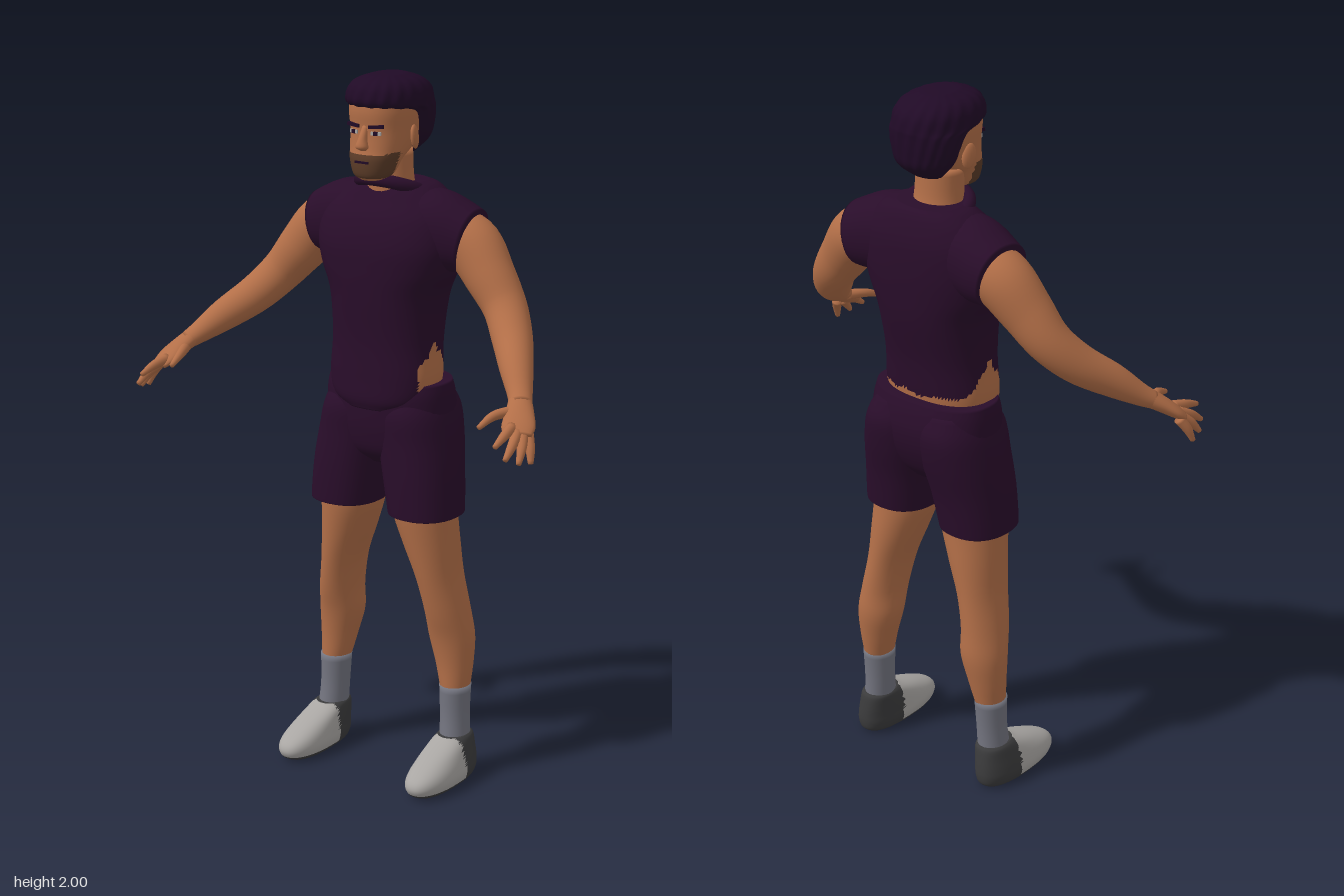
import * as THREE from 'three';

const mat = (name, color) => Object.assign(new THREE.MeshStandardMaterial({ color }), { name });
const M = {
  skin: mat('skin', 0xb36f48), cloth: mat('dark purple cloth', 0x290d2a), hair: mat('dark hair', 0x200a26),
  beard: mat('beard', 0x5c3c28), sock: mat('grey sock', 0x73747f), shoe: mat('pale shoe', 0xa9a6a3),
  sole: mat('dark sole', 0x3b3b3c),
};

// Sweeps a superellipse through sections [x, y, z, r1, r2].
// level: rings stay horizontal; pick(point) chooses which material a face gets.
function sweep(name, sections, mats, { level = false, n = 2, seg = 32, steps = 5, pick = () => 0, ripple } = {}) {
  const mid = new THREE.CatmullRomCurve3(sections.map(s => new THREE.Vector3(s[0], s[1], s[2])), false, 'catmullrom');
  const size = new THREE.CatmullRomCurve3(sections.map(s => new THREE.Vector3(s[3], s[4], 0)), false, 'catmullrom');
  const rows = (sections.length - 1) * steps;
  const up = new THREE.Vector3(0, 1, 0), pts = [];
  const bend = v => Math.sign(v) * Math.abs(v) ** (2 / n);
  for (let i = 0; i <= rows; i++) {
    const c = mid.getPoint(i / rows), r = size.getPoint(i / rows);
    const T = level ? up : mid.getTangent(i / rows);
    const u = level ? new THREE.Vector3(1, 0, 0) : up.clone().cross(T).normalize();
    const v = u.clone().cross(T);
    for (let j = 0; j < seg; j++) {
      const a = j / seg * Math.PI * 2, k = ripple ? ripple(a, c.y) : 1;
      pts.push(c.clone().addScaledVector(u, bend(Math.cos(a)) * r.x * k).addScaledVector(v, bend(Math.sin(a)) * r.y * k));
    }
  }
  pts.push(mid.getPoint(0), mid.getPoint(1));
  const list = Array.isArray(mats) ? mats : [mats], faces = list.map(() => []);
  const tri = (a, b, c) => {
    const m = pts[a].clone().add(pts[b]).add(pts[c]).divideScalar(3);
    faces[pick(m)].push(a, b, c);
  };
  for (let j = 0; j < seg; j++) {
    const k = (j + 1) % seg, top = rows * seg;
    for (let i = 0; i < rows; i++) {
      const p = i * seg, q = p + seg;
      tri(p + j, q + j, p + k);
      tri(p + k, q + j, q + k);
    }
    tri(pts.length - 2, j, k);
    tri(pts.length - 1, top + k, top + j);
  }
  const g = new THREE.BufferGeometry().setFromPoints(pts);
  g.setIndex(faces.flat());
  let start = 0;
  faces.forEach((f, i) => { g.addGroup(start, f.length, i); start += f.length; });
  g.computeVertexNormals();
  const mesh = new THREE.Mesh(g, list.length > 1 ? list : list[0]);
  mesh.name = name;
  return mesh;
}

// Horizontal rings given as [y, x, zFront, zBack, halfWidth].
const stack = (name, rings, mats, opts = {}) => sweep(name,
  rings.map(([y, x, f, b, w]) => [x, y, (f + b) / 2, w, (f - b) / 2]), mats, { level: true, ...opts });

function part(name, geometry, material, pos, rot = [0, 0, 0], scale = [1, 1, 1]) {
  const m = new THREE.Mesh(geometry, material);
  m.name = name;
  m.position.set(...pos); m.rotation.set(...rot); m.scale.set(...scale);
  return m;
}

function makeHead() {
  const g = new THREE.Group();
  g.name = 'head';
  g.add(stack('neck', [[1.58, 0, -.06, -.2, .1], [1.66, 0, -.055, -.19, .078], [1.72, 0, -.052, -.175, .068],
    [1.8, 0, -.05, -.17, .066]], M.skin));
  // beard covers the front of the jaw
  g.add(stack('face', [[1.725, 0, -.0, -.06, .028], [1.74, 0, .016, -.09, .052], [1.78, 0, .02, -.12, .068],
    [1.81, 0, .013, -.16, .078], [1.86, 0, .007, -.2, .087], [1.91, 0, .01, -.21, .092], [1.95, 0, 0, -.2, .085],
    [1.98, 0, -.04, -.17, .05]], [M.skin, M.beard],
  { n: 2.3, seg: 48, pick: p => (p.y > 1.733 && p.y < 1.798 + .3 * Math.max(0, Math.abs(p.x) - .055) && p.z > -.055 ? 1 : 0) }));
  g.add(stack('hair', [[1.785, 0, -.13, -.19, .045], [1.82, 0, -.105, -.232, .076], [1.86, 0, -.085, -.242, .092],
    [1.905, 0, -.055, -.246, .1], [1.925, 0, .014, -.246, .104], [1.96, 0, .016, -.235, .1],
    [1.985, 0, -.005, -.205, .08], [2.0, 0, -.05, -.16, .04]], M.hair,
  { seg: 72, n: 2.2, ripple: (a, y) => 1 + .02 * Math.sin(18 * a + 40 * y) }));
  g.add(sweep('nose', [[0, 1.874, 0, .008, .008], [0, 1.84, .014, .012, .014], [0, 1.818, .018, .018, .017],
    [0, 1.808, .012, .01, .008]].reverse(), M.skin, { level: true, seg: 16 }));
  g.add(part('mouth', new THREE.BoxGeometry(.042, .006, .008), M.hair, [0, 1.777, .018]));
  for (const s of [-1, 1]) {
    g.add(part('eyebrow', new THREE.BoxGeometry(.042, .009, .009), M.hair, [s * .036, 1.873, .004], [0, s * .2, s * .06]));
    g.add(part('eyeWhite', new THREE.BoxGeometry(.028, .009, .006), M.shoe, [s * .035, 1.855, .003], [0, s * .2, 0]));
    g.add(part('iris', new THREE.BoxGeometry(.011, .01, .008), M.hair, [s * .035, 1.855, .004], [0, s * .2, 0]));
    g.add(part('ear', new THREE.SphereGeometry(1, 16, 12), M.skin, [s * .089, 1.838, -.1], [.2, s * .3, 0], [.01, .034, .021]));
  }
  return g;
}

function makeTorso() {
  const g = new THREE.Group();
  g.name = 'torso';
  // ragged hem leaves skin bare at the sides and the lower back
  const bare = p => {
    if (p.z > -.04) return 0;
    const edge = 1.18 + .1 * Math.max(0, 1 - Math.abs(p.z + .1) / .085) + .006 * Math.sin(p.z * 150 + p.x * 60);
    return p.y < edge ? 1 : 0;
  };
  g.add(stack('shirt', [[1.09, 0, .006, -.19, .115], [1.12, 0, .014, -.205, .15], [1.18, 0, .012, -.215, .163],
    [1.28, 0, .01, -.226, .158], [1.4, 0, .018, -.25, .167], [1.48, 0, .021, -.258, .198], [1.55, 0, .018, -.261, .212],
    [1.62, 0, -.004, -.258, .2], [1.67, 0, -.04, -.245, .165], [1.7, 0, -.065, -.23, .125], [1.71, 0, -.08, -.215, .09]],
  [M.cloth, M.skin], { n: 2.4, seg: 96, steps: 8, pick: bare }));
  g.add(part('collar', new THREE.TorusGeometry(.092, .018, 12, 40), M.cloth, [0, 1.688, -.128], [Math.PI / 2 - .38, 0, 0], [1, .95, 1]));
  g.add(stack('hips', [[.92, 0, -.06, -.19, .08], [.96, 0, -.015, -.225, .16], [1.02, 0, .0, -.25, .19],
    [1.08, 0, .003, -.258, .19], [1.13, 0, .0, -.25, .187], [1.165, 0, -.012, -.238, .18]], M.cloth, { n: 2.4, seg: 48 }));
  return g;
}

function makeLeg(s) {
  const g = new THREE.Group();
  g.name = s > 0 ? 'leftLeg' : 'rightLeg';
  const add = (name, rings, m, o) => g.add(stack(name, rings.map(([y, x, ...r]) => [y, s * x, ...r]), m, o));
  add('shortsLeg', [[.788, .13, .0, -.215, .1], [.8, .13, .002, -.217, .102], [.9, .117, .004, -.232, .107],
    [1.0, .1, .002, -.255, .109], [1.08, .09, 0, -.263, .1], [1.14, .08, -.03, -.24, .08]], M.cloth, { n: 2.3 });
  add('bareLeg', [[.26, .208, -.1, -.194, .04], [.34, .2, -.098, -.21, .054], [.42, .19, -.087, -.222, .065],
    [.5, .182, -.066, -.218, .06], [.6, .163, -.046, -.214, .06], [.7, .14, -.03, -.213, .076],
    [.79, .122, -.018, -.21, .09], [.86, .12, -.015, -.21, .09]], M.skin);
  add('sock', [[.09, .215, -.085, -.19, .042], [.18, .21, -.097, -.19, .041], [.275, .208, -.097, -.197, .044]], M.sock);
  add('shoe', [[0, .222, .06, -.185, .045], [.012, .222, .082, -.2, .057], [.035, .222, .092, -.206, .064],
    [.06, .221, .075, -.206, .062], [.09, .218, .015, -.203, .056], [.12, .215, -.06, -.198, .048],
    [.13, .214, -.08, -.19, .04]], [M.shoe, M.sole],
  { n: 2.3, seg: 56, pick: p => (p.z < -.095 || p.y < .017 ? 1 : 0) });
  return g;
}

function makeArm(s) {
  const g = new THREE.Group();
  g.name = s > 0 ? 'leftArm' : 'rightArm';
  const add = (name, sections, m, o) => g.add(sweep(name, sections.map(([x, ...r]) => [s * x, ...r]), m, o));
  add('sleeve', [[.08, 1.59, -.135, .1, .108], [.14, 1.585, -.14, .1, .11], [.2, 1.572, -.148, .094, .099],
    [.241, 1.563, -.152, .087, .088]], M.cloth, { n: 2.2 });
  add('arm', [[.19, 1.575, -.15, .078, .08], [.25, 1.548, -.15, .077, .08], [.31, 1.48, -.136, .068, .071],
    [.37, 1.407, -.118, .06, .06], [.425, 1.342, -.068, .055, .054], [.485, 1.285, .005, .045, .045],
    [.53, 1.24, .06, .034, .031], [.553, 1.218, .092, .03, .024]], M.skin);
  add('palm', [[.543, 1.228, .078, .03, .025], [.562, 1.205, .11, .037, .022], [.58, 1.178, .145, .044, .018],
    [.592, 1.16, .168, .036, .012]], M.skin, { seg: 24 });
  // root, knuckle bend and tip of each finger
  const fingers = {
    thumb: [[.543, 1.205, .11], [.517, 1.2, .165], [.506, 1.18, .218]],
    indexFinger: [[.57, 1.178, .16], [.578, 1.168, .21], [.581, 1.152, .258]],
    middleFinger: [[.586, 1.167, .16], [.6, 1.145, .207], [.605, 1.118, .247]],
    ringFinger: [[.6, 1.16, .155], [.616, 1.132, .187], [.624, 1.102, .213]],
    littleFinger: [[.607, 1.16, .14], [.624, 1.128, .157], [.634, 1.094, .17]],
  };
  for (const [name, p] of Object.entries(fingers)) {
    const r = [.015, .0125, .007];
    add(name, p.map((q, i) => [...q, r[i], r[i]]), M.skin, { seg: 12 });
  }
  return g;
}

export function createModel() {
  const model = new THREE.Group();
  model.name = 'athlete';
  model.add(makeHead(), makeTorso());
  for (const s of [-1, 1]) model.add(makeLeg(s), makeArm(s));
  return model;
}
